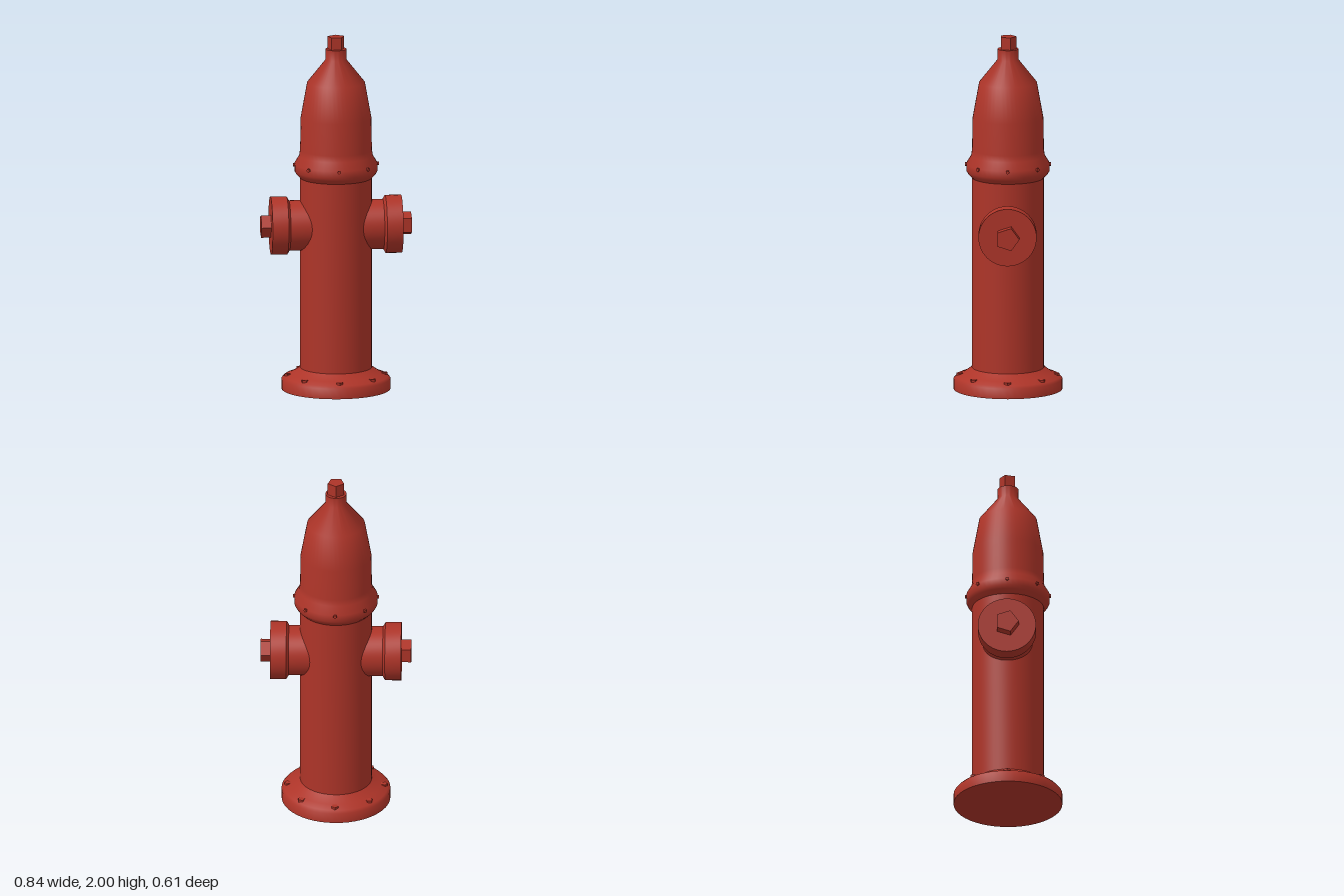
import * as THREE from 'three';
import { toCreasedNormals } from 'three/addons/utils/BufferGeometryUtils.js';

export function createModel() {
  const red = new THREE.MeshStandardMaterial({ color: 0xad3428 });
  red.name = 'hydrant red';
  const model = new THREE.Group();
  model.name = 'hydrant';

  const add = (parent, name, geometry) => {
    const mesh = new THREE.Mesh(geometry, red);
    mesh.name = name;
    parent.add(mesh);
    return mesh;
  };
  const lathe = (profile) => toCreasedNormals(
    new THREE.LatheGeometry(profile.map(([r, y]) => new THREE.Vector2(r, y)), 48), 0.9);
  // Five-sided nut standing on y = bottom, one corner towards +z
  const nut = (radius, bottom, height) => toCreasedNormals(
    new THREE.CylinderGeometry(radius, radius, height, 5).translate(0, bottom + height / 2, 0), 0.3);

  // Base flange and barrel
  add(model, 'barrel', lathe([
    [0, 0], [0.303, 0], [0.303, 0.058], [0.29, 0.072], [0.25, 0.088], [0.2, 0.122], [0.2, 1.2],
  ]));

  // Collar and bonnet
  add(model, 'bonnet', lathe([
    [0.2, 1.2], [0.222, 1.222], [0.232, 1.24], [0.232, 1.28], [0.205, 1.325], [0.2, 1.36],
    [0.197, 1.54], [0.161, 1.74], [0.058, 1.87], [0.058, 1.93], [0, 1.93],
  ]));
  add(model, 'topNut', nut(0.048, 1.92, 0.08)).rotation.y = Math.PI;

  // Side outlets with caps and nuts
  for (const side of ['left', 'right']) {
    const outlet = new THREE.Group();
    outlet.name = side + 'Outlet';
    outlet.position.y = 0.93;
    outlet.rotation.y = side === 'left' ? 0 : Math.PI;
    add(outlet, 'outletCap', lathe([
      [0.14, 0.12], [0.14, 0.262], [0.162, 0.275], [0.162, 0.365], [0, 0.365],
    ])).rotation.z = -Math.PI / 2;
    add(outlet, 'outletNut',
      nut(0.067, 0.36, 0.06).rotateY(Math.PI).rotateZ(-Math.PI / 2));
    model.add(outlet);
  }

  // Eight bolts on the flange and eight around the collar
  for (let i = 0; i < 8; i++) {
    const bolts = new THREE.Group();
    bolts.name = 'bolts' + (i + 1);
    bolts.rotation.y = i * Math.PI / 4;
    add(bolts, 'flangeBolt', nut(0.02, 0.06, 0.028)).position.z = 0.267;
    add(bolts, 'collarBolt', nut(0.011, 0.22, 0.02).rotateX(Math.PI / 2)).position.y = 1.275;
    model.add(bolts);
  }
  return model;
}
